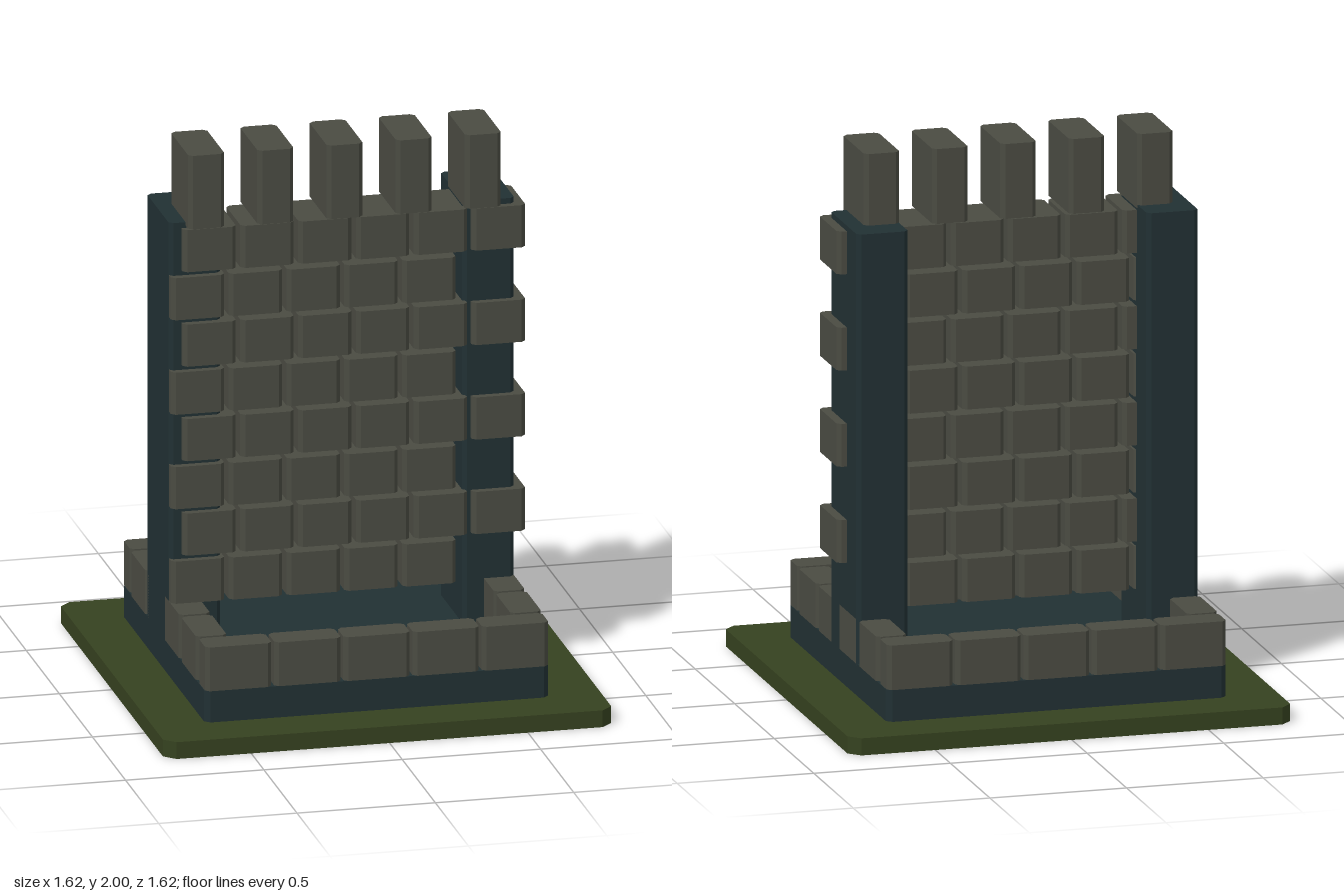
import * as THREE from 'three';

const mat = (name, color) => {
  const m = new THREE.MeshStandardMaterial({ color });
  m.name = name;
  return m;
};

// Upright block with its four vertical edges chamfered
function block(name, material, [x0, x1], [y0, y1], [z0, z1], c = 0.015) {
  const w = (x1 - x0) / 2, d = (z1 - z0) / 2;
  const shape = new THREE.Shape([
    [-w + c, -d], [w - c, -d], [w, -d + c], [w, d - c],
    [w - c, d], [-w + c, d], [-w, d - c], [-w, -d + c],
  ].map(([x, y]) => new THREE.Vector2(x, y)));
  const geo = new THREE.ExtrudeGeometry(shape, { depth: y1 - y0, bevelEnabled: false });
  geo.rotateX(-Math.PI / 2);
  const mesh = new THREE.Mesh(geo, material);
  mesh.position.set((x0 + x1) / 2, y0, (z0 + z1) / 2);
  mesh.name = name;
  return mesh;
}

export function createModel() {
  const model = new THREE.Group();
  model.name = 'ruinedWall';
  const stone = mat('stone', 0x4a4b42);
  const slate = mat('darkSlate', 0x213033);
  const grass = mat('mossGreen', 0x35411f);

  // Ground slab and foundation
  model.add(block('groundSlab', grass, [-0.81, 0.81], [0, 0.062], [-0.81, 0.81], 0.04));
  model.add(block('foundation', slate, [-0.622, 0.622], [0.062, 0.178], [-0.622, 0.622], 0.02));

  // Low border of stones round the foundation
  const border = new THREE.Group();
  border.name = 'borderStones';
  const by = [0.178, 0.34];
  for (const s of [-1, 1]) {
    const edge = s > 0 ? [0.513, 0.624] : [-0.624, -0.513];
    for (let i = -2; i <= 2; i++) {
      border.add(block('borderStone', stone, [i * 0.25 - 0.12, i * 0.25 + 0.12], by, edge));
    }
    for (const z of [-0.38, -0.13, 0.13, 0.38]) {
      border.add(block('borderStone', stone, edge, by, [z - 0.117, z + 0.117]));
    }
  }
  model.add(border);

  // Side pillars
  model.add(block('leftPillar', slate, [0.437, 0.624], [0.17, 1.74], [-0.252, 0.09]));
  model.add(block('rightPillar', slate, [-0.624, -0.437], [0.17, 1.74], [-0.252, 0.09]));

  // Brick wall: staggered courses, the offset ones a brick longer
  const wall = new THREE.Group();
  wall.name = 'brickWall';
  for (let row = 0; row < 8; row++) {
    const offset = row % 2 === 1;
    const y = 0.34 + row * 0.1748;
    for (let i = 0; i < (offset ? 6 : 5); i++) {
      const x = (offset ? -0.58 : -0.622) + i * 0.209;
      wall.add(block('brick', stone, [x, x + 0.193], [y, y + 0.156], [-0.118, 0.118]));
    }
  }
  model.add(wall);

  // Battlements
  for (let i = -2; i <= 2; i++) {
    model.add(block('merlon', stone, [i * 0.25 - 0.065, i * 0.25 + 0.065], [1.728, 2], [-0.14, 0.14]));
  }
  return model;
}
